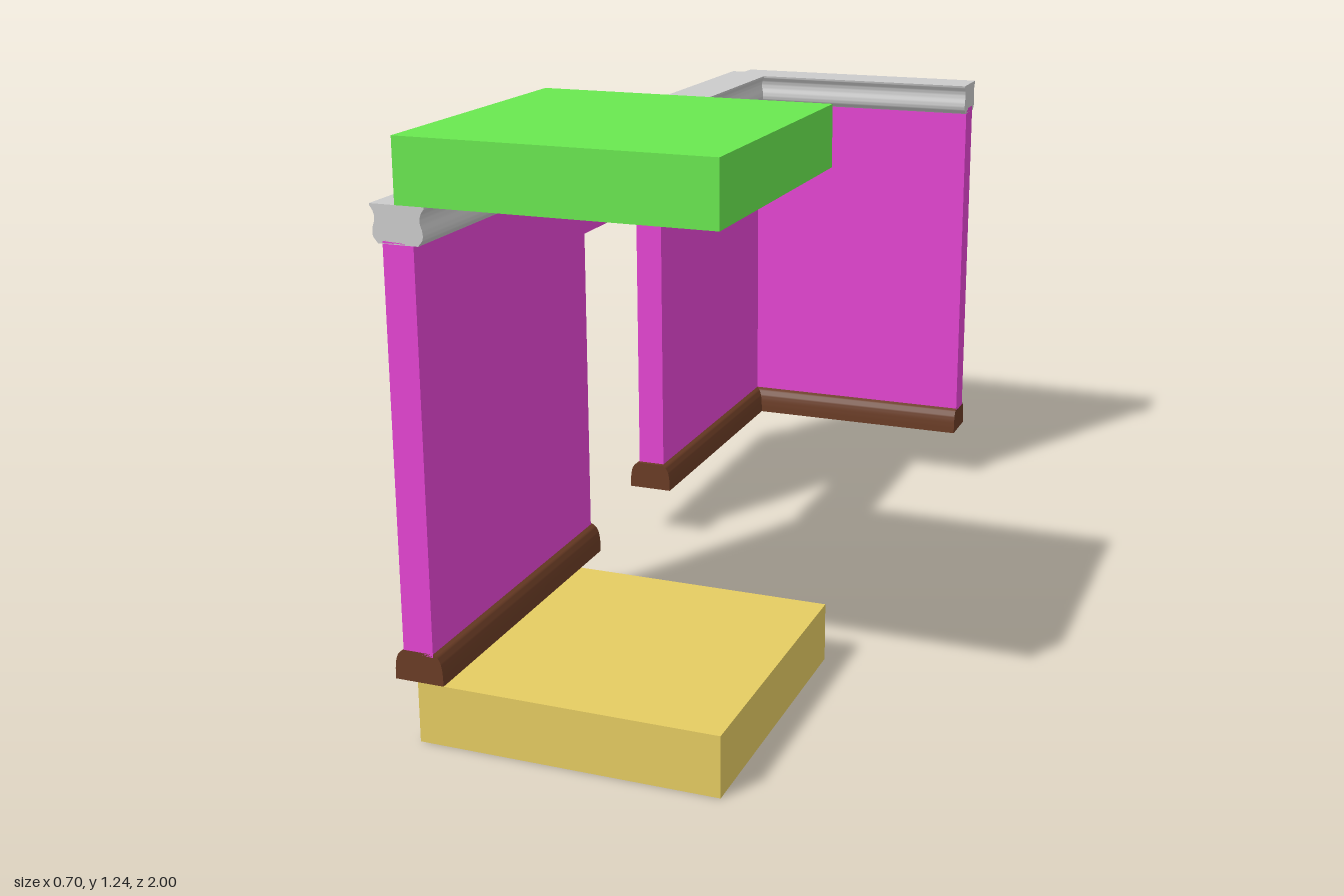
import * as THREE from 'three';
import { toCreasedNormals } from 'three/addons/utils/BufferGeometryUtils.js';

const material = (color) => new THREE.MeshStandardMaterial({ color });

// Symmetric cross-section from [halfWidth, y] points listed bottom to top
function profile(bottom, side, top) {
  const curve = new THREE.SplineCurve(side.map(([w, y]) => new THREE.Vector2(w, y)));
  const right = [new THREE.Vector2(...bottom), ...curve.getPoints(16), new THREE.Vector2(...top)];
  const left = right.map((p) => new THREE.Vector2(-p.x, p.y)).reverse();
  return new THREE.Shape([...right, ...left]);
}

export function createModel() {
  const model = new THREE.Group();
  const wallX = -0.294, backZ = -0.942;   // centre lines of the two walls
  const front = 1, rear = -0.95;          // ends of the side wall
  const left = -0.318, right = 0.33;      // ends of the back wall
  const thick = 0.066, low = 0.19, high = 1.04;

  const wallMat = material(0xe545d3);
  const crownMat = material(0xcccccc);
  const baseMat = material(0x6a3c25);

  function add(name, geometry, mat, x, y, z) {
    const mesh = new THREE.Mesh(geometry, mat);
    mesh.name = name;
    mesh.position.set(x, y, z);
    model.add(mesh);
    return mesh;
  }

  // Moulding swept along z, or along x for the back wall
  function moulding(name, shape, mat, from, to, alongX = false) {
    const geometry = toCreasedNormals(
      new THREE.ExtrudeGeometry(shape, { depth: to - from, bevelEnabled: false }), 0.7);
    const mesh = add(name, geometry, mat, alongX ? from : wallX, 0, alongX ? backZ : from);
    if (alongX) mesh.rotation.y = Math.PI / 2;
  }

  // Side wall, drawn in z and y, with its doorway cut from the lower edge
  const outline = [[front, low], [front, high], [rear, high], [rear, low],
    [-0.195, low], [-0.195, 0.895], [0.25, 0.895], [0.25, low]];
  const sideShape = new THREE.Shape(outline.map(([z, y]) => new THREE.Vector2(-z, y)));
  const side = add('sideWall',
    new THREE.ExtrudeGeometry(sideShape, { depth: thick, bevelEnabled: false }),
    wallMat, wallX + thick / 2, 0, 0);
  side.rotation.y = Math.PI / 2;
  side.position.x = wallX - thick / 2;

  // Back wall
  add('backWall', new THREE.BoxGeometry(right - left, high - low, thick), wallMat,
    (left + right) / 2, (low + high) / 2, backZ);

  // Crown moulding: bulging foot, narrow neck, flared top
  const crown = profile([0.043, 1.028],
    [[0.045, 1.031], [0.053, 1.042], [0.053, 1.057], [0.048, 1.075], [0.051, 1.09], [0.058, 1.1]],
    [0.058, 1.104]);
  moulding('sideCrown', crown, crownMat, rear, front);
  moulding('backCrown', crown, crownMat, left, right, true);

  // Baseboards with rounded upper edges, interrupted at the doorway
  const base = profile([0.054, 0.131],
    [[0.054, 0.135], [0.053, 0.16], [0.049, 0.18], [0.042, 0.191], [0.033, 0.197]],
    [0.03, 0.197]);
  moulding('frontBaseboard', base, baseMat, 0.243, front);
  moulding('rearBaseboard', base, baseMat, rear, -0.185);
  moulding('backBaseboard', base, baseMat, left, right, true);

  // Square floor and ceiling slabs
  const slab = new THREE.BoxGeometry(0.648, 0.131, 0.648);
  add('floorSlab', slab, material(0xe5cc62), 0.026, 0.0655, 0.676);
  add('ceilingSlab', slab, material(0x69e850), 0.026, 1.1695, 0.676);

  return model;
}
